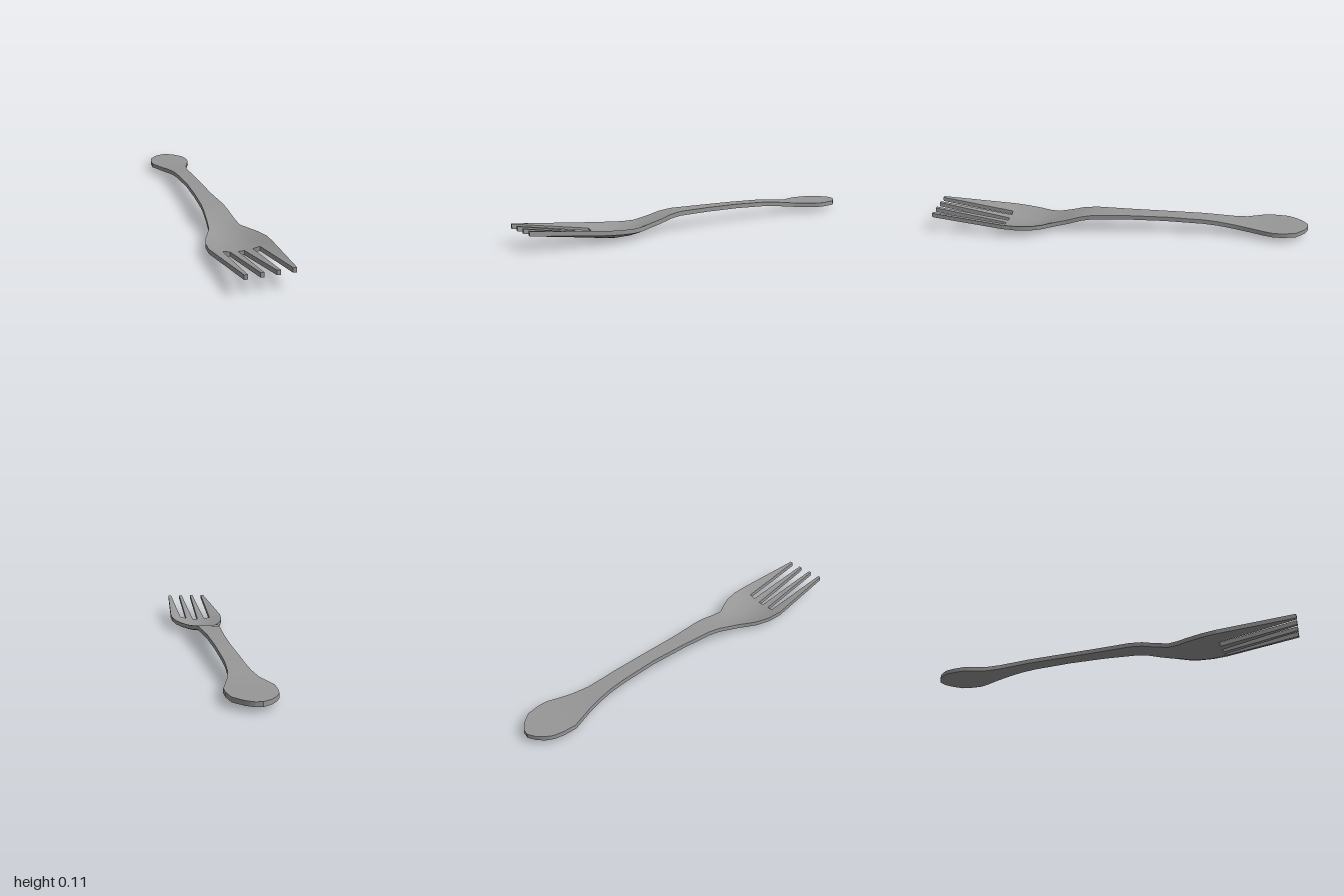
import * as THREE from 'three';
import { toCreasedNormals } from 'three/addons/utils/BufferGeometryUtils.js';

const THICK = 0.023;
const METAL = new THREE.MeshStandardMaterial({ color: 0x979797 });
// Crosswise fractions: edges of the four tines, with the slots between them
const COLS = [0, 0.213, 0.328, 0.459, 0.557, 0.689, 0.803, 1];

// Stations along the body: left z, left x, right z, right x, top height at the middle, rise at the edges
const BODY = [
  [-0.999, -0.155, -0.999, -0.12, 0.051, 0],
  [-0.97, -0.195, -0.98, -0.08, 0.051, 0],
  [-0.935, -0.22, -0.935, -0.03, 0.051, 0],
  [-0.9, -0.235, -0.87, -0.008, 0.052, 0],
  [-0.85, -0.238, -0.82, -0.003, 0.052, 0],
  [-0.785, -0.232, -0.77, -0.013, 0.053, 0],
  [-0.68, -0.175, -0.7, -0.028, 0.057, 0],
  [-0.61, -0.148, -0.61, -0.037, 0.066, 0],
  [-0.53, -0.127, -0.53, -0.033, 0.077, 0],
  [-0.45, -0.112, -0.45, -0.024, 0.085, 0],
  [-0.25, -0.08, -0.25, 0.001, 0.094, 0],
  [-0.05, -0.06, -0.05, 0.03, 0.097, 0],
  [0.13, -0.048, 0.13, 0.067, 0.098, 0],
  [0.2, -0.045, 0.19, 0.08, 0.09, 0],
  [0.27, -0.042, 0.26, 0.097, 0.07, 0.002],
  [0.345, -0.042, 0.33, 0.115, 0.047, 0.01],
  [0.40, -0.057, 0.39, 0.16, 0.033, 0.021],
  [0.45, -0.073, 0.44, 0.19, 0.026, 0.029],
  [0.53, -0.085, 0.51, 0.214, 0.025, 0.034],
  [0.61, -0.082, 0.585, 0.223, 0.034, 0.031],
];

// Tine tips: left x, right x, z, top height
const TIPS = [
  [0.006, 0.022, 0.996, 0.107],
  [0.077, 0.093, 0.986, 0.108],
  [0.149, 0.166, 0.976, 0.109],
  [0.22, 0.237, 0.966, 0.111],
];

// Dished cross-section: seven strips, tilted slightly where the head widens
function section([zl, xl, zr, xr, y, rise]) {
  return COLS.map((u) => new THREE.Vector3(
    THREE.MathUtils.lerp(xl, xr, u),
    y + rise * (2 * u - 1) ** 2 + rise * 0.2 * (2 * u - 1),
    THREE.MathUtils.lerp(zl, zr, u),
  ));
}

// Thick sheet from rows of top points; startCap and endCap choose which strips are closed at each end
function sheet(name, rows, startCap, endCap) {
  const pos = [];
  const low = (p) => new THREE.Vector3(p.x, p.y - THICK, p.z);
  const quad = (a, b, c, d) => [a, b, c, a, c, d].forEach((p) => pos.push(p.x, p.y, p.z));
  const last = rows.length - 1;
  const n = rows[0].length - 1;
  for (let r = 0; r < last; r++) {
    const p = rows[r], q = rows[r + 1];
    for (let c = 0; c < n; c++) {
      quad(p[c], q[c], q[c + 1], p[c + 1]);
      quad(low(p[c]), low(p[c + 1]), low(q[c + 1]), low(q[c]));
    }
    quad(p[0], low(p[0]), low(q[0]), q[0]);
    quad(p[n], q[n], low(q[n]), low(p[n]));
  }
  for (let c = 0; c < n; c++) {
    const p = rows[0], q = rows[last];
    if (startCap(c)) quad(p[c], p[c + 1], low(p[c + 1]), low(p[c]));
    if (endCap(c)) quad(q[c], low(q[c]), low(q[c + 1]), q[c + 1]);
  }
  const geo = new THREE.BufferGeometry();
  geo.setAttribute('position', new THREE.Float32BufferAttribute(pos, 3));
  const mesh = new THREE.Mesh(toCreasedNormals(geo, 0.6), METAL);
  mesh.name = name;
  return mesh;
}

export function createModel() {
  const fork = new THREE.Group();
  fork.name = 'fork';

  // Handle and dished head; the end is closed only between the tines
  const rows = BODY.map(section);
  fork.add(sheet('handleAndHead', rows, () => true, (c) => c % 2 === 1));

  // Four straight tapering tines growing from the head
  const root = rows[rows.length - 1];
  TIPS.forEach(([xl, xr, z, y], i) => {
    const tip = [new THREE.Vector3(xl, y, z), new THREE.Vector3(xr, y, z)];
    fork.add(sheet(`tine${i + 1}`, [[root[2 * i], root[2 * i + 1]], tip], () => false, () => true));
  });
  return fork;
}
